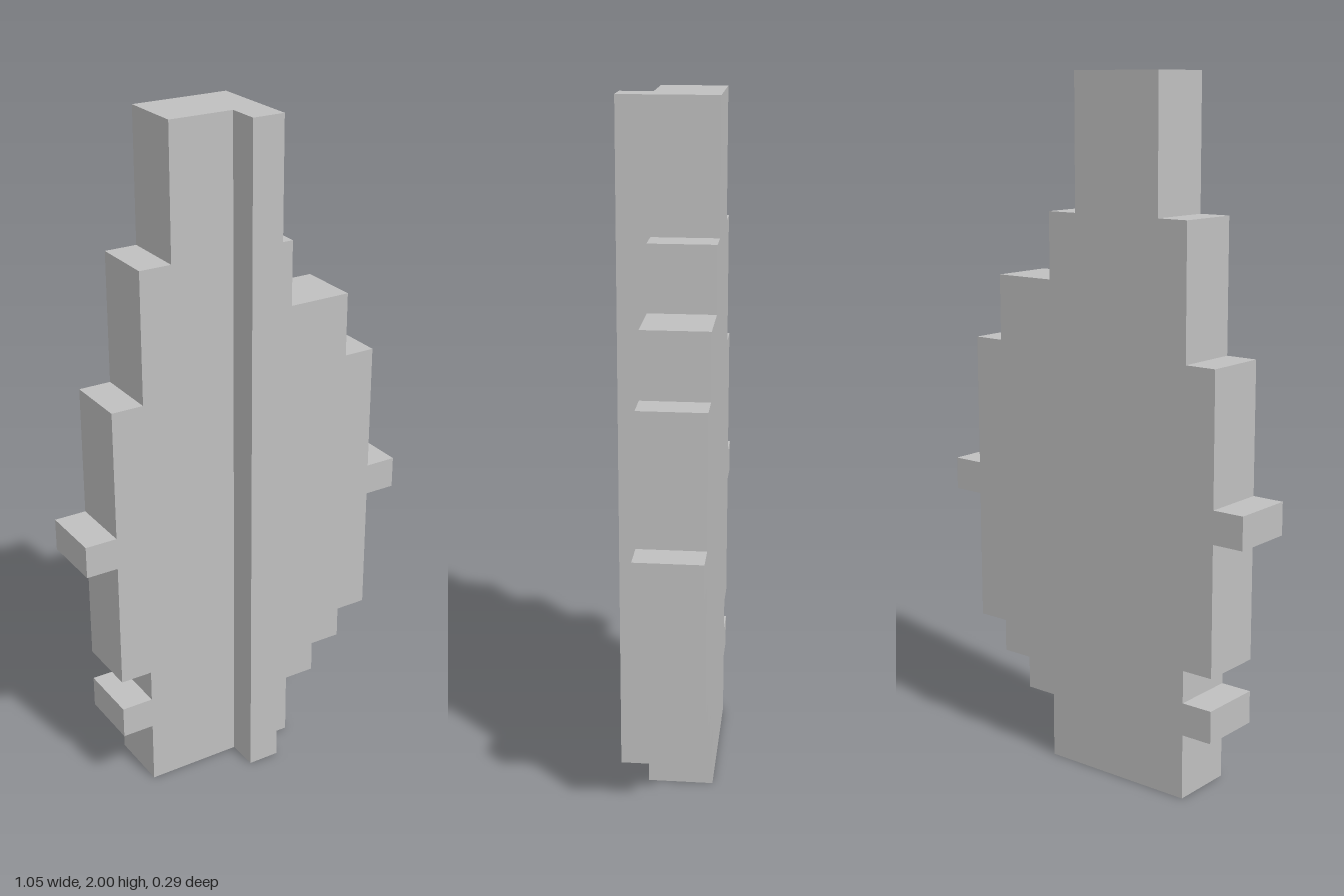
import * as THREE from 'three';

const U = 2 / 21; // one block

export function createModel() {
  const group = new THREE.Group();
  const grey = new THREE.MeshStandardMaterial({ color: 0xc0c0c0 });
  grey.name = 'light grey';

  // Stepped outline, in blocks: [edge x, bottom y, top y]
  const rightSteps = [
    [1.5, 0, 2], [2.5, 2, 3], [3.5, 3, 4], [4.5, 4, 8], [5.5, 8, 9],
    [4.5, 9, 13], [3.5, 13, 15], [1.5, 15, 17], [0.5, 17, 21],
  ];
  const leftSteps = [
    [-3.5, 0, 2], [-4.5, 2, 3], [-3.5, 3, 4], [-4.5, 4, 8], [-5.5, 8, 9],
    [-4.5, 9, 13], [-3.5, 13, 17], [-2.5, 17, 21],
  ];
  const corners = (steps) => steps.flatMap(([x, y0, y1]) => [
    new THREE.Vector2(x * U, y0 * U), new THREE.Vector2(x * U, y1 * U),
  ]);
  const outline = new THREE.Shape([...corners(rightSteps), ...corners(leftSteps).reverse()]);

  // Flat stepped slab, two blocks thick
  const slab = new THREE.Mesh(
    new THREE.ExtrudeGeometry(outline, { depth: 2 * U, bevelEnabled: false }), grey);
  slab.name = 'steppedSlab';
  slab.position.z = -1.5 * U;
  group.add(slab);

  // Full-height ridge on the front
  const ridge = new THREE.Mesh(new THREE.BoxGeometry(U, 21 * U, U), grey);
  ridge.name = 'frontRidge';
  ridge.position.set(0, 10.5 * U, U);
  group.add(ridge);

  return group;
}
